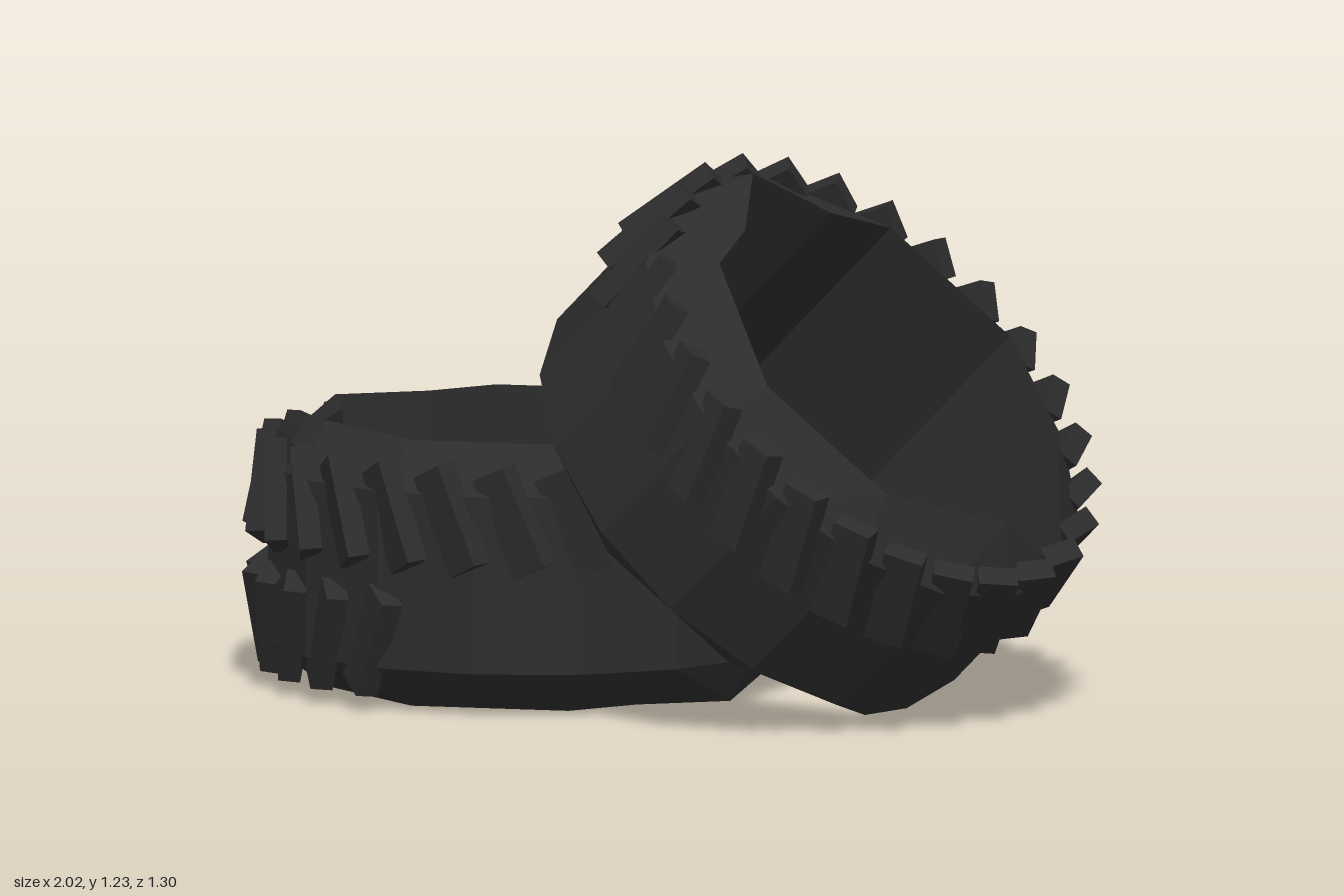
import * as THREE from 'three';

const rubber = new THREE.MeshStandardMaterial({ color: 0x2c2c2c, flatShading: true });
rubber.name = 'black rubber';

const SIDES = 16;

// Tyre carcass: 16-sided outside, octagonal bore, bevelled shoulders
function carcassGeometry() {
  // wide: the one corner of each bore rim that is pulled outwards
  const sections = [
    { y: -0.3, r: 0.47, bore: true, wide: 0 },
    { y: -0.2, r: 0.6 },
    { y: 0.2, r: 0.6 },
    { y: 0.3, r: 0.47, bore: true, wide: SIDES / 2 },
  ];
  const point = (v, u) => {
    const s = sections[v % sections.length];
    const i = u % SIDES;
    const a = i / SIDES * Math.PI * 2;
    let r = s.r;
    if (s.bore && i % 2) r *= Math.cos(Math.PI / 8);
    if (s.wide === i) r = 0.54;
    return [r * Math.cos(a), s.y, r * Math.sin(a)];
  };
  const pos = [];
  for (let v = 0; v < sections.length; v++) {
    for (let u = 0; u < SIDES; u++) {
      const a = point(v, u), b = point(v + 1, u), c = point(v + 1, u + 1), d = point(v, u + 1);
      // split the quads so that bevels fold towards the octagon corners
      if (u % 2 === (v === 2 ? 1 : 0)) pos.push(...a, ...b, ...c, ...a, ...c, ...d);
      else pos.push(...a, ...b, ...d, ...b, ...c, ...d);
    }
  }
  const g = new THREE.BufferGeometry();
  g.setAttribute('position', new THREE.Float32BufferAttribute(pos, 3));
  g.computeVertexNormals();
  return g;
}

const carcass = carcassGeometry();
const block = new THREE.BoxGeometry(0.05, 0.24, 0.09);

// Tread block around the tyre: slanted, one long edge raised, outer end leaning in
// side is 1 for the upper row and -1 for the lower row
function treadBlock(angle, y, side) {
  const holder = new THREE.Group();
  holder.name = 'treadBlock';
  holder.rotation.y = -angle;
  const m = new THREE.Mesh(block, rubber);
  m.name = 'treadBlock';
  m.position.set(0.588, y, 0);
  m.rotation.set(side * 0.42, -0.5, side * 0.13, 'XZY');
  holder.add(m);
  return holder;
}

function tyre(name, lowerRow) {
  const g = new THREE.Group();
  g.name = name;
  const body = new THREE.Mesh(carcass, rubber);
  body.name = 'tyreBody';
  g.add(body);
  const count = 26;
  for (let i = 0; i < count; i++) {
    const a = (i + 0.25) / count * Math.PI * 2;
    g.add(treadBlock(a, 0.145, 1));
    // the second row only stands proud on the -x half
    if (lowerRow && Math.cos(a) < 0.1) g.add(treadBlock(a + 0.1, -0.14, -1));
  }
  return g;
}

export function createModel() {
  const model = new THREE.Group();
  model.name = 'tyrePile';

  const flat = tyre('lyingTyre', true);
  flat.position.set(-0.35, 0.302, 0);
  model.add(flat);

  const leaning = tyre('leaningTyre', false);
  leaning.position.set(0.405, 0.6, 0);
  leaning.rotation.z = -THREE.MathUtils.degToRad(46.6);
  model.add(leaning);

  return model;
}
